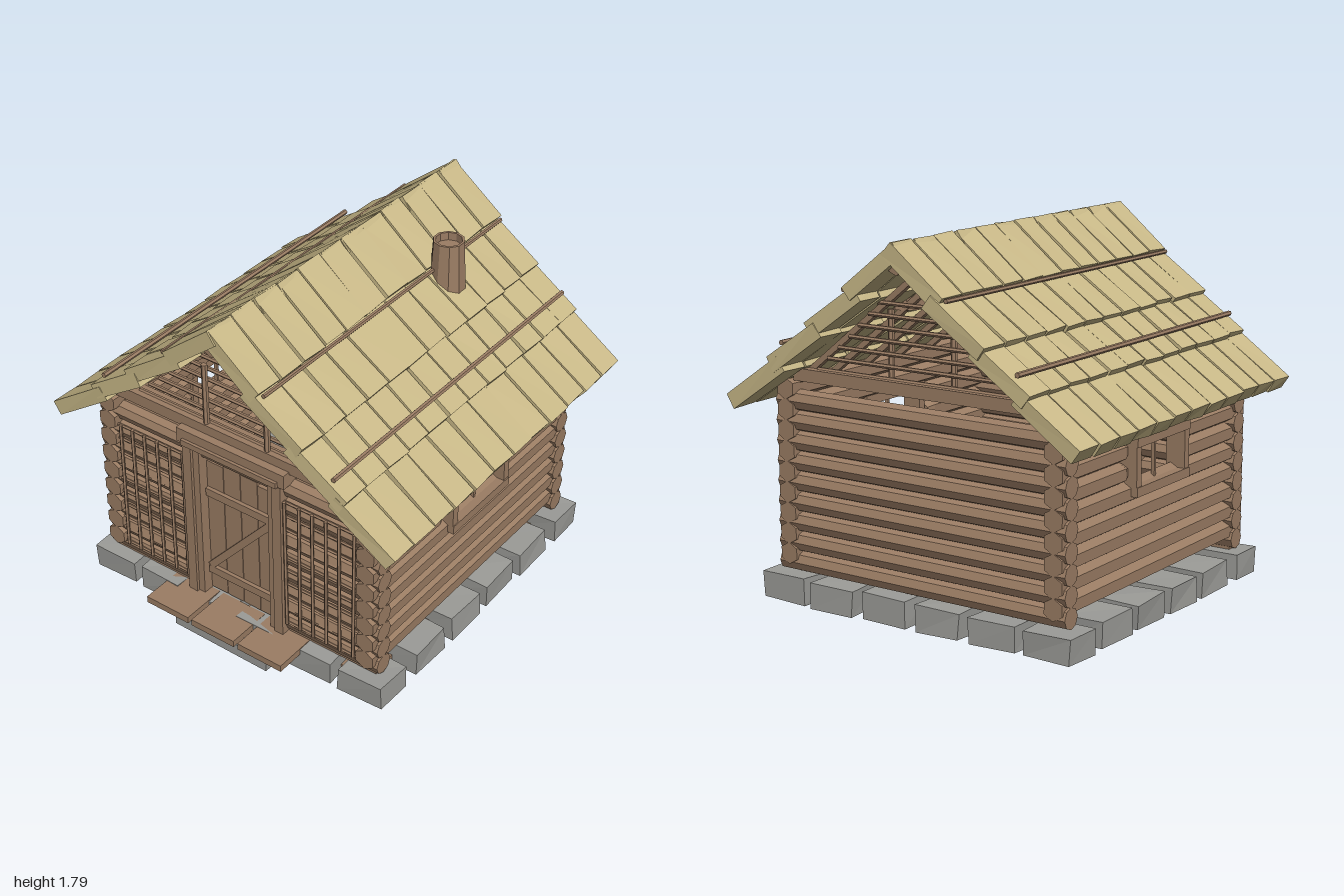
import * as THREE from 'three';

const wood = new THREE.MeshStandardMaterial({ color: 0x9b7d64, flatShading: true });
wood.name = 'wood';
const stone = new THREE.MeshStandardMaterial({ color: 0x9c9c98, flatShading: true });
stone.name = 'stone';
const thatch = new THREE.MeshStandardMaterial({ color: 0xc9b988, flatShading: true });
thatch.name = 'thatch';

let seed = 7;
const rand = (r) => {
  seed = (seed * 16807) % 2147483647;
  return (seed / 2147483647 * 2 - 1) * r;
};

function add(parent, name, geo, mat, x = 0, y = 0, z = 0) {
  const m = new THREE.Mesh(geo, mat);
  m.name = name;
  m.position.set(x, y, z);
  parent.add(m);
  return m;
}

const box = (parent, name, w, h, d, x, y, z, mat = wood) =>
  add(parent, name, new THREE.BoxGeometry(w, h, d), mat, x, y, z);

// Box whose eight corners are each nudged a little
function roughBox(w, h, d, r) {
  const g = new THREE.BoxGeometry(w, h, d), p = g.attributes.position;
  const nudge = Array.from({ length: 8 }, () => [rand(r), rand(r), rand(r)]);
  for (let i = 0; i < p.count; i++) {
    const k = (p.getX(i) > 0 ? 1 : 0) + (p.getY(i) > 0 ? 2 : 0) + (p.getZ(i) > 0 ? 4 : 0);
    const n = nudge[k];
    p.setXYZ(i, p.getX(i) + n[0], p.getY(i) + n[1], p.getZ(i) + n[2]);
  }
  return g;
}

// Round pole between two points
function pole(parent, name, a, b, r, sides = 6, r2 = r) {
  const A = new THREE.Vector3(...a), B = new THREE.Vector3(...b), dir = B.clone().sub(A);
  const g = new THREE.CylinderGeometry(r2, r, dir.length(), sides);
  const m = add(parent, name, g, wood);
  m.position.copy(A).add(B).multiplyScalar(0.5);
  m.quaternion.setFromUnitVectors(new THREE.Vector3(0, 1, 0), dir.normalize());
  return m;
}

function group(parent, name) {
  const g = new THREE.Group();
  g.name = name;
  parent.add(g);
  return g;
}

function buildBase(root) {
  const g = group(root, 'foundation');
  box(g, 'floor', 1.46, 0.055, 1.5, 0, 0.033, -0.01);
  const block = (x, z, w, d) =>
    add(g, 'foundationStone', roughBox(w, 0.126, d, 0.007), stone, x, 0.067, z);
  const xs = [-0.745, -0.455, -0.15, 0.15, 0.455, 0.745];
  const zs = [0.73, 0.425, 0.125, -0.175, -0.47, -0.765];
  xs.forEach((x, i) => {
    const end = i === 0 || i === 5;
    block(x, zs[0], 0.245, 0.2);
    block(x, zs[5], 0.245, 0.2);
    if (end) zs.slice(1, 5).forEach((z) => block(x, z, 0.24, 0.24));
  });
  // Doorstep
  add(g, 'stepStone', roughBox(0.56, 0.07, 0.12, 0.006), stone, 0.01, 0.038, 0.88);
  for (const x of [-0.277, 0, 0.28]) box(g, 'stepPlank', 0.255, 0.035, 0.24, x, 0.115, 0.86);
}

function buildWalls(root) {
  const g = group(root, 'logWalls');
  // Logs running front to back, cut around the windows
  for (const s of [-1, 1]) {
    const x = s * 0.75;
    for (let i = 0; i < 9; i++) {
      const y = 0.23 + i * 0.1;
      if (i === 5 || i === 6) {
        pole(g, 'sideLog', [x, y, 0.8], [x, y, 0.275], 0.054);
        pole(g, 'sideLogTip', [x, y, 0.275], [x, y, 0.235], 0.054, 6, 0.036);
        pole(g, 'sideLog', [x, y, -0.82], [x, y, -0.3], 0.054);
        pole(g, 'sideLogTip', [x, y, -0.3], [x, y, -0.26], 0.054, 6, 0.036);
      } else {
        pole(g, 'sideLog', [x, y, 0.8], [x, y, -0.82], 0.054);
      }
    }
  }
  // Logs running left to right, the front ones cut for the doorway
  for (let i = 0; i < 9; i++) {
    const y = 0.187 + i * 0.098;
    pole(g, 'backLog', [-0.81, y, -0.765], [0.81, y, -0.765], 0.052, 8);
    if (i === 8) pole(g, 'frontLog', [-0.81, y, 0.73], [0.81, y, 0.73], 0.05, 8);
    else for (const s of [-1, 1])
      pole(g, 'frontLog', [s * 0.81, y, 0.73], [s * 0.26, y, 0.73], 0.052, 8);
  }
  for (const s of [-1, 1]) box(g, 'sill', 0.52, 0.03, 0.06, s * 0.53, 0.148, 0.73);

  // Window frames
  for (const s of [-1, 1]) {
    const w = group(root, s > 0 ? 'leftWindow' : 'rightWindow'), x = s * 0.775;
    for (const y of [0.64, 0.87]) box(w, 'windowRail', 0.11, 0.045, 0.47, x, y, -0.02);
    for (const z of [-0.235, 0.195]) box(w, 'windowJamb', 0.1, 0.2, 0.04, x, 0.755, z);
    box(w, 'windowBar', 0.018, 0.2, 0.014, x, 0.755, -0.025);
  }
}

function buildFront(root) {
  // Stick lattices either side of the door
  for (const s of [-1, 1]) {
    const l = group(root, 'lattice');
    for (let i = 0; i < 6; i++) {
      const x = s * (0.3 + i * 0.076);
      pole(l, 'latticeUpright', [x, 0.2, 0.79], [x + rand(0.006), 0.92, 0.79], 0.009, 5);
    }
    for (let i = 0; i < 10; i++) {
      const y = 0.2 + i * 0.079;
      pole(l, 'latticeStick', [s * 0.28, y, 0.777], [s * 0.71, y + rand(0.006), 0.777], 0.008, 5);
    }
  }
  // Door frame
  const d = group(root, 'door');
  for (const s of [-1, 1]) {
    box(d, 'doorPost', 0.05, 0.87, 0.14, s * 0.26, 0.565, 0.735);
    box(d, 'doorPostInner', 0.05, 0.87, 0.1, s * 0.225, 0.565, 0.74);
  }
  box(d, 'lintel', 0.62, 0.075, 0.14, 0, 1.045, 0.74);
  box(d, 'lintelLower', 0.55, 0.03, 0.17, 0, 1.02, 0.74);
  // Planked door with battens and brace
  for (let i = 0; i < 4; i++) {
    const h = 0.76 + rand(0.015);
    box(d, 'doorPlank', 0.097, h, 0.025, -0.15 + i * 0.1, 0.14 + h / 2, 0.725);
  }
  for (const y of [0.73, 0.265]) box(d, 'doorBatten', 0.39, 0.042, 0.02, 0, y, 0.747);
  box(d, 'doorBrace', 0.56, 0.036, 0.02, 0, 0.498, 0.747).rotation.z = Math.atan2(0.41, 0.36);

  // Splayed table inside
  const t = group(root, 'table');
  box(t, 'tableTop', 0.22, 0.03, 0.24, 0, 0.6, -0.28);
  for (const sx of [-1, 1]) for (const sz of [-1, 1])
    pole(t, 'tableLeg', [sx * 0.12, 0.06, -0.28 + sz * 0.17], [sx * 0.08, 0.59, -0.28 + sz * 0.09], 0.016);
}

function buildGables(root) {
  const widths = [0.59, 0.53, 0.465, 0.4, 0.345, 0.285, 0.23];
  for (const z of [0.73, -0.765]) {
    const g = group(root, z > 0 ? 'frontGable' : 'backGable');
    box(g, 'tieBeam', 1.42, 0.06, 0.08, 0, 1.1, z);
    widths.forEach((w, i) =>
      pole(g, 'gableStick', [-w, 1.13 + i * 0.058, z], [w, 1.13 + i * 0.058, z], 0.011));
    for (const s of [-1, 1]) pole(g, 'gablePost', [s * 0.175, 1.12, z + 0.02], [s * 0.175, 1.45, z + 0.02], 0.015);
  }
}

function buildRoof(root) {
  const roof = group(root, 'roof');
  const angle = Math.atan(0.8), rowEnds = [0.352, 0.654, 0.942, 1.263], mid = -0.025;
  pole(roof, 'ridgePole', [0, 1.69, 0.9], [0, 1.69, -0.93], 0.052, 8);
  for (const s of [1, -1]) {
    // Slope frame: x runs down the slope, y is the roof's normal
    const turn = group(roof, s > 0 ? 'leftSlope' : 'rightSlope');
    turn.rotation.y = s > 0 ? 0 : Math.PI;
    const slope = group(turn, 'slope');
    slope.position.set(0, 1.79, mid * s);
    slope.rotation.z = -angle;
    // Overlapping thatch bundles
    rowEnds.forEach((end, r) => {
      const start = r ? rowEnds[r - 1] - 0.05 : 0;
      const len = end - start, drop = r ? 0.03 : 0.002;
      for (let c = 0; c < 12; c++) {
        const m = add(slope, 'thatchBundle', roughBox(len + rand(0.008), 0.075, 0.147 + rand(0.004), 0.004), thatch);
        m.position.set((start + end) / 2, -0.041 - drop / 2, (c - 5.5) * 0.158 + rand(0.005));
        m.rotation.set(0, rand(0.018), Math.atan2(drop, len));
      }
    });
    // Rafters below and holding poles above
    for (let i = 0; i < 7; i++)
      box(slope, 'rafter', 1.06, 0.028, 0.035, 0.62, -0.122, -0.72 + i * 0.245);
    pole(slope, 'roofPole', [0.83, 0.006, 0.925], [0.83, 0.006, -0.925], 0.013);
    pole(slope, 'roofPole', [0.368, -0.008, 0.925], [0.368, -0.008, -0.925], 0.011);
  }
  // Flared chimney with a sunken top
  const pts = [[0, 1.40], [0.092, 1.40], [0.076, 1.70], [0.064, 1.70], [0.064, 1.66], [0, 1.66]];
  const geo = new THREE.LatheGeometry(pts.map((p) => new THREE.Vector2(...p)), 10);
  add(roof, 'chimney', geo, wood, 0.32, 0, -0.44);
}

export function createModel() {
  seed = 7;
  const root = new THREE.Group();
  root.name = 'logCabin';
  buildBase(root);
  buildWalls(root);
  buildFront(root);
  buildGables(root);
  buildRoof(root);
  return root;
}
